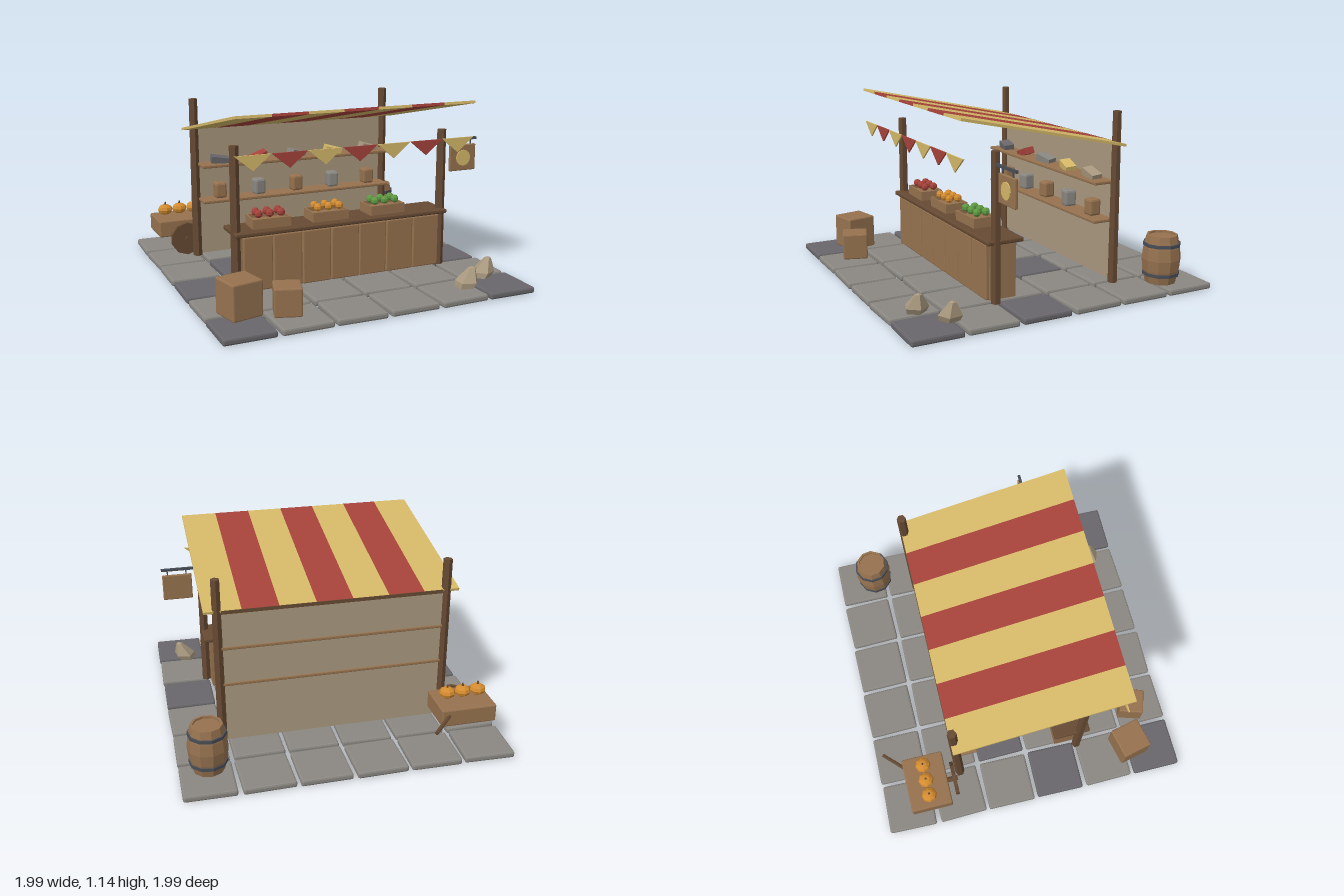
import * as THREE from 'three';
import { RoundedBoxGeometry } from 'three/addons/geometries/RoundedBoxGeometry.js';

const mat = (name, color) => {
  const m = new THREE.MeshStandardMaterial({ color });
  m.name = name;
  return m;
};

export function createModel() {
  const wood = mat('wood', 0x96724f);
  const darkWood = mat('dark wood', 0x664a33);
  const burlap = mat('burlap', 0xa8987e);
  const stone = mat('stone', 0x8a8782);
  const darkStone = mat('dark stone', 0x68666a);
  const iron = mat('iron', 0x484d56);
  const yellow = mat('yellow', 0xd4b868);
  const red = mat('red', 0xa5423a);
  const orange = mat('orange', 0xd48c30);
  const green = mat('green', 0x5f9a42);

  const model = new THREE.Group();
  model.name = 'marketStall';

  let seed = 7;
  const rand = () => (seed = (seed * 16807) % 2147483647) / 2147483647;

  // Facet a geometry so every face has its own normal
  const facet = (g) => {
    const f = g.index ? g.toNonIndexed() : g;
    f.computeVertexNormals();
    return f;
  };
  const add = (name, geo, material, x, y, z, parent = model) => {
    const m = new THREE.Mesh(facet(geo), material);
    m.name = name;
    m.position.set(x, y, z);
    parent.add(m);
    return m;
  };
  // Plain box and chamfered box, both placed by their centre
  const box = (name, w, h, d, material, x, y, z, parent) =>
    add(name, new THREE.BoxGeometry(w, h, d), material, x, y, z, parent);
  const block = (name, w, h, d, r, material, x, y, z, parent) =>
    add(name, new RoundedBoxGeometry(w, h, d, 1, r), material, x, y, z, parent);
  const group = (name, x, y, z, ry = 0) => {
    const g = new THREE.Group();
    g.name = name;
    g.position.set(x, y, z);
    g.rotation.y = ry;
    model.add(g);
    return g;
  };

  // Paving slabs, slightly crooked
  const darkSlabs = ['0,5', '5,5', '0,3', '5,3', '3,2', '1,2'];
  for (let c = 0; c < 6; c++) {
    for (let r = 0; r < 6; r++) {
      const m = darkSlabs.includes(`${c},${r}`) ? darkStone : stone;
      const slab = block('pavingSlab', 0.31, 0.04, 0.31, 0.012, m, -0.835 + c * 0.334, 0.02, -0.835 + r * 0.334);
      slab.rotation.y = (rand() - 0.5) * 0.06;
    }
  }

  // Posts
  for (const x of [-0.695, 0.695]) {
    add('frontPost', new THREE.CylinderGeometry(0.028, 0.031, 0.89, 6), darkWood, x, 0.485, 0.35);
    add('backPost', new THREE.CylinderGeometry(0.028, 0.031, 1.06, 6), darkWood, x, 0.57, -0.46);
  }

  // Counter with upright planks
  box('counterBody', 1.34, 0.34, 0.17, wood, 0, 0.22, 0.29);
  for (let i = 0; i < 7; i++) {
    block('counterPlank', 0.184, 0.335, 0.03, 0.007, wood, (i - 3) * 0.19, 0.218, 0.382);
  }
  block('counterTop', 1.43, 0.027, 0.235, 0.008, darkWood, 0, 0.403, 0.293);

  // Fruit trays
  [[-0.465, red], [-0.08, orange], [0.31, green]].forEach(([x, fruit], i) => {
    const tray = group('fruitTray', x, 0.417, 0.285, (i - 1) * 0.03);
    box('trayFloor', 0.22, 0.035, 0.13, wood, 0, 0.0175, 0, tray);
    for (const s of [-1, 1]) {
      box('traySide', 0.24, 0.06, 0.012, wood, 0, 0.03, s * 0.069, tray);
      box('trayEnd', 0.012, 0.06, 0.13, wood, s * 0.114, 0.03, 0, tray);
      for (let k = -1; k <= 1; k++) {
        add('fruit', new THREE.SphereGeometry(0.026, 7, 5), fruit, k * 0.071, 0.082, s * 0.03, tray);
      }
    }
  });

  // Back wall and shelves, which pass through it
  box('backWall', 1.34, 0.86, 0.016, burlap, 0, 0.48, -0.466);
  box('backRail', 1.34, 0.022, 0.02, darkWood, 0, 0.9, -0.472);
  for (const y of [0.667, 0.43]) {
    block('shelf', 1.36, 0.02, 0.155, 0.005, wood, 0, y, -0.403);
  }

  // Shelf goods: jars below, tilted bundles above
  const bundles = [darkStone, red, stone, yellow, burlap];
  for (let i = 0; i < 5; i++) {
    const x = (i - 2) * 0.273;
    const jar = block('jar', 0.078, 0.105, 0.078, 0.014, i % 2 ? stone : wood, x, 0.492, -0.4);
    jar.rotation.y = (rand() - 0.5) * 0.3;
    const bundle = box('bundle', 0.115, 0.045, 0.07, bundles[i], x, 0.698, -0.39);
    bundle.rotation.set(0.1, (rand() - 0.5) * 0.8, [-0.15, 0.35, -0.3, -0.25, -0.3][i]);
  }

  // Sloping striped canopy
  const rise = 0.228, run = 1.075;
  const canopy = group('canopy', 0, 1.017, 0.06);
  canopy.rotation.x = -Math.atan2(rise, run);
  for (let i = 0; i < 7; i++) {
    box('canopyStripe', 0.2205, 0.016, Math.hypot(rise, run), i % 2 ? red : yellow, (i - 3) * 0.2205, 0, 0, canopy);
  }

  // Bunting below the canopy's front edge
  const flag = new THREE.Shape([
    new THREE.Vector2(-0.11, 0.045), new THREE.Vector2(0, -0.045), new THREE.Vector2(0.11, 0.045),
  ]);
  for (let i = 0; i < 7; i++) {
    add('buntingFlag', new THREE.ExtrudeGeometry(flag, { depth: 0.009, bevelEnabled: false }),
      i % 2 ? red : yellow, (i - 3) * 0.221, 0.87, 0.579);
  }

  // Hanging sign
  const sign = group('hangingSign', 0.85, 0.735, 0.355);
  box('signArm', 0.25, 0.016, 0.016, iron, -0.025, 0.122, 0, sign);
  block('signBoard', 0.19, 0.17, 0.022, 0.006, wood, 0, 0, 0, sign);
  for (const x of [-0.06, 0.06]) box('signHanger', 0.007, 0.04, 0.007, iron, x, 0.1, 0, sign);
  add('signDisc', new THREE.CylinderGeometry(0.052, 0.052, 0.008, 12), yellow, 0, 0, 0.014, sign).rotation.x = Math.PI / 2;

  // Crates
  for (const [x, z, w, h, ry] of [[-0.793, 0.685, 0.195, 0.215, 0.22], [-0.54, 0.77, 0.16, 0.17, -0.31]]) {
    block('crate', w, h, w, 0.009, wood, x, 0.04 + h / 2, z).rotation.y = ry;
  }

  // Barrel with hoops
  const barrel = group('barrel', 0.815, 0.04, -0.735, 0.15);
  const stave = [[0, 0], [0.095, 0], [0.113, 0.08], [0.12, 0.15], [0.113, 0.22], [0.095, 0.3], [0.08, 0.3], [0.08, 0.288], [0, 0.288]];
  add('barrelBody', new THREE.LatheGeometry(stave.map(([r, y]) => new THREE.Vector2(r, y)), 10), wood, 0, 0, 0, barrel);
  for (const y of [0.058, 0.242]) {
    add('barrelHoop', new THREE.CylinderGeometry(0.115, 0.115, 0.02, 10), iron, 0, y, 0, barrel);
  }

  // Handcart with pumpkins
  const cart = group('handcart', -0.753, 0, -0.683);
  block('cartBox', 0.345, 0.11, 0.265, 0.008, wood, 0, 0.215, 0, cart);
  add('cartWheel', new THREE.CylinderGeometry(0.11, 0.11, 0.024, 10), darkWood, 0, 0.15, 0.178, cart).rotation.x = Math.PI / 2;
  add('cartAxle', new THREE.CylinderGeometry(0.018, 0.018, 0.09, 6), darkWood, 0, 0.15, 0.155, cart).rotation.x = Math.PI / 2;
  const from = new THREE.Vector3(0.11, 0.235, -0.11);
  const to = new THREE.Vector3(0.25, 0.2, -0.245);
  const handle = add('cartHandle', new THREE.CylinderGeometry(0.012, 0.012, from.distanceTo(to), 6), darkWood, 0, 0, 0, cart);
  handle.position.copy(from).lerp(to, 0.5);
  handle.quaternion.setFromUnitVectors(new THREE.Vector3(0, 1, 0), to.clone().sub(from).normalize());
  for (let k = -1; k <= 1; k++) {
    const pumpkin = add('pumpkin', new THREE.SphereGeometry(0.05, 8, 6), orange, k * 0.098, 0.32, 0, cart);
    pumpkin.scale.y = 0.72;
    add('pumpkinStem', new THREE.CylinderGeometry(0.005, 0.008, 0.02, 5), darkWood, k * 0.098, 0.362, 0, cart);
  }

  // Pointed sacks, sheared so the tips lean
  for (const [x, z, lean, ry] of [[0.605, 0.81, 0.05, 0.3], [0.8, 0.69, 0.05, 1.1]]) {
    const profile = [[0, 0], [0.062, 0], [0.073, 0.035], [0.022, 0.115], [0, 0.125]];
    const g = new THREE.LatheGeometry(profile.map(([r, y]) => new THREE.Vector2(r, y)), 5);
    g.rotateY(ry);
    const p = g.attributes.position;
    for (let i = 0; i < p.count; i++) p.setX(i, p.getX(i) + (lean * p.getY(i)) / 0.125);
    add('sack', g, burlap, x, 0.04, z);
  }

  return model;
}
